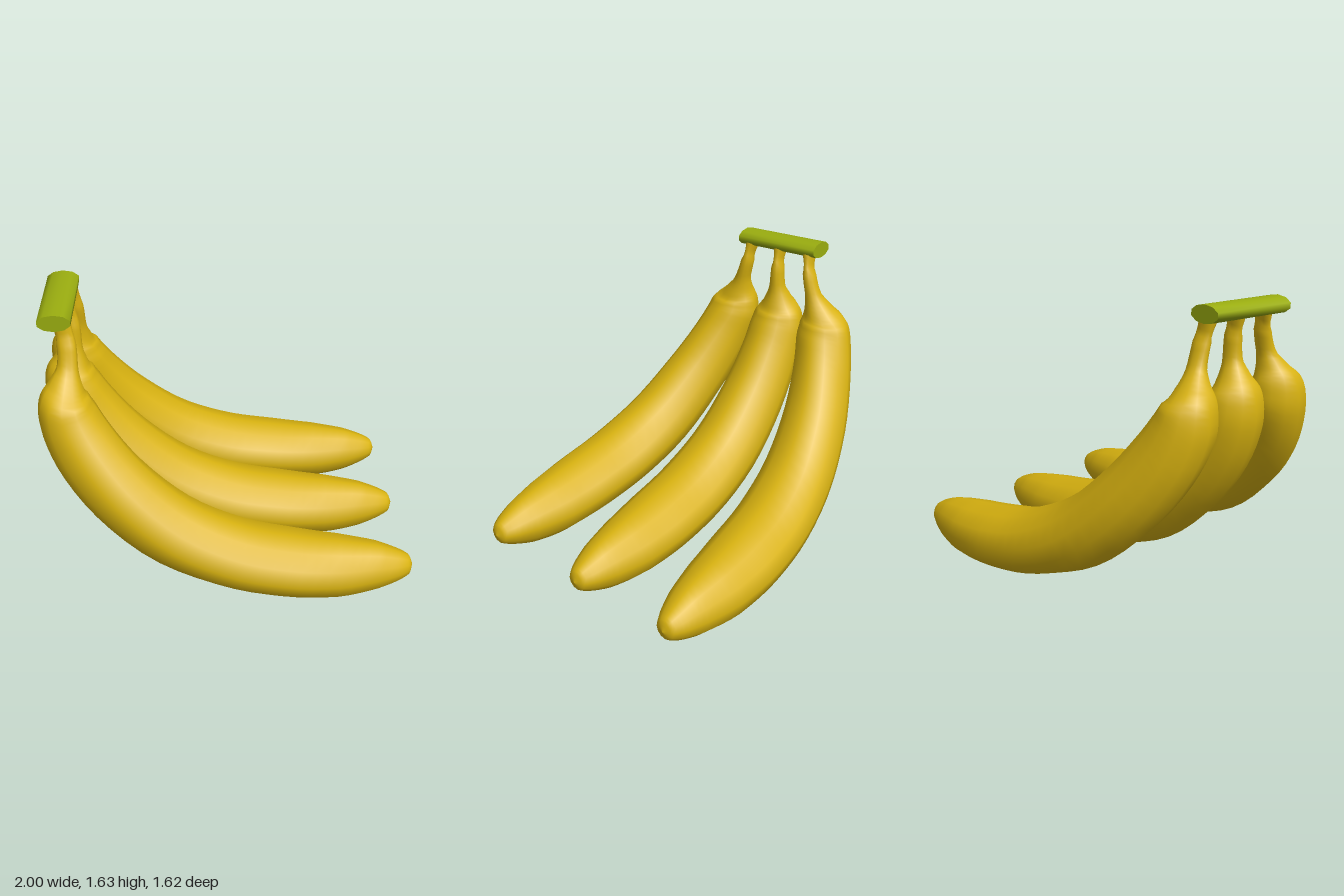
import * as THREE from 'three';

const SIDES = 12, STEPS = 56;

// Stations from stem to tip: x, y, sideways spread, in-plane radius, sideways radius
const STATIONS = [
  [-0.85, 1.57, 0.2, 0.05, 0.036], [-0.83, 1.46, 0.22, 0.05, 0.036],
  [-0.83, 1.34, 0.255, 0.053, 0.045], [-0.845, 1.25, 0.295, 0.09, 0.09],
  [-0.855, 1.18, 0.325, 0.132, 0.145], [-0.84, 1.08, 0.34, 0.16, 0.167],
  [-0.76, 0.91, 0.39, 0.182, 0.177], [-0.59, 0.69, 0.46, 0.192, 0.195],
  [-0.32, 0.465, 0.525, 0.193, 0.213], [0, 0.328, 0.57, 0.183, 0.223],
  [0.3, 0.265, 0.592, 0.178, 0.219], [0.58, 0.23, 0.6, 0.17, 0.188],
  [0.79, 0.225, 0.602, 0.138, 0.138], [0.92, 0.225, 0.605, 0.09, 0.09],
  [0.98, 0.225, 0.605, 0.055, 0.052], [1, 0.225, 0.605, 0, 0],
];

// Sweeps an elliptical section along the bent centre line
function fruitGeometry(side, drop) {
  const centre = new THREE.CatmullRomCurve3(STATIONS.map(([x, y, z]) =>
    new THREE.Vector3(x, y - drop * THREE.MathUtils.clamp((1.5 - y) / 1.2, 0, 1), z * side)));
  const radii = new THREE.CatmullRomCurve3(STATIONS.map(s => new THREE.Vector3(s[3], s[4], 0)));
  const pos = [], index = [];
  for (let i = 0; i <= STEPS; i++) {
    const c = centre.getPoint(i / STEPS), r = radii.getPoint(i / STEPS);
    const t = centre.getTangent(i / STEPS).setZ(0).normalize();
    for (let j = 0; j < SIDES; j++) {
      const a = (j / SIDES) * Math.PI * 2;
      const u = Math.cos(a) * r.x, v = Math.sin(a) * r.y;
      pos.push(c.x - t.y * u, c.y + t.x * u, c.z + v);
      if (i === STEPS) continue;
      const p = i * SIDES + j, q = i * SIDES + (j + 1) % SIDES;
      index.push(p, q, p + SIDES, q, q + SIDES, p + SIDES);
    }
  }
  const g = new THREE.BufferGeometry();
  g.setAttribute('position', new THREE.Float32BufferAttribute(pos, 3));
  g.setIndex(index);
  g.computeVertexNormals();
  return g;
}

export function createModel() {
  const group = new THREE.Group();
  const yellow = new THREE.MeshStandardMaterial({ color: 0xd9b310 });
  const green = new THREE.MeshStandardMaterial({ color: 0x9aad10 });

  // Three fruits fanning out from the crown
  for (const [name, side, drop] of [['frontBanana', 1, 0], ['middleBanana', 0, 0.04], ['backBanana', -1, 0.055]]) {
    const fruit = new THREE.Mesh(fruitGeometry(side, drop), yellow);
    fruit.name = name;
    group.add(fruit);
  }

  // Flattened bar joining the stems
  const bar = new THREE.CylinderGeometry(1, 1, 0.53, 10);
  bar.rotateX(Math.PI / 2);
  bar.scale(0.088, 0.046, 1);
  bar.computeVertexNormals();
  const crown = new THREE.Mesh(bar, green);
  crown.name = 'crown';
  crown.position.set(-0.877, 1.588, 0.003);
  crown.rotation.x = 0.01;
  group.add(crown);

  return group;
}
